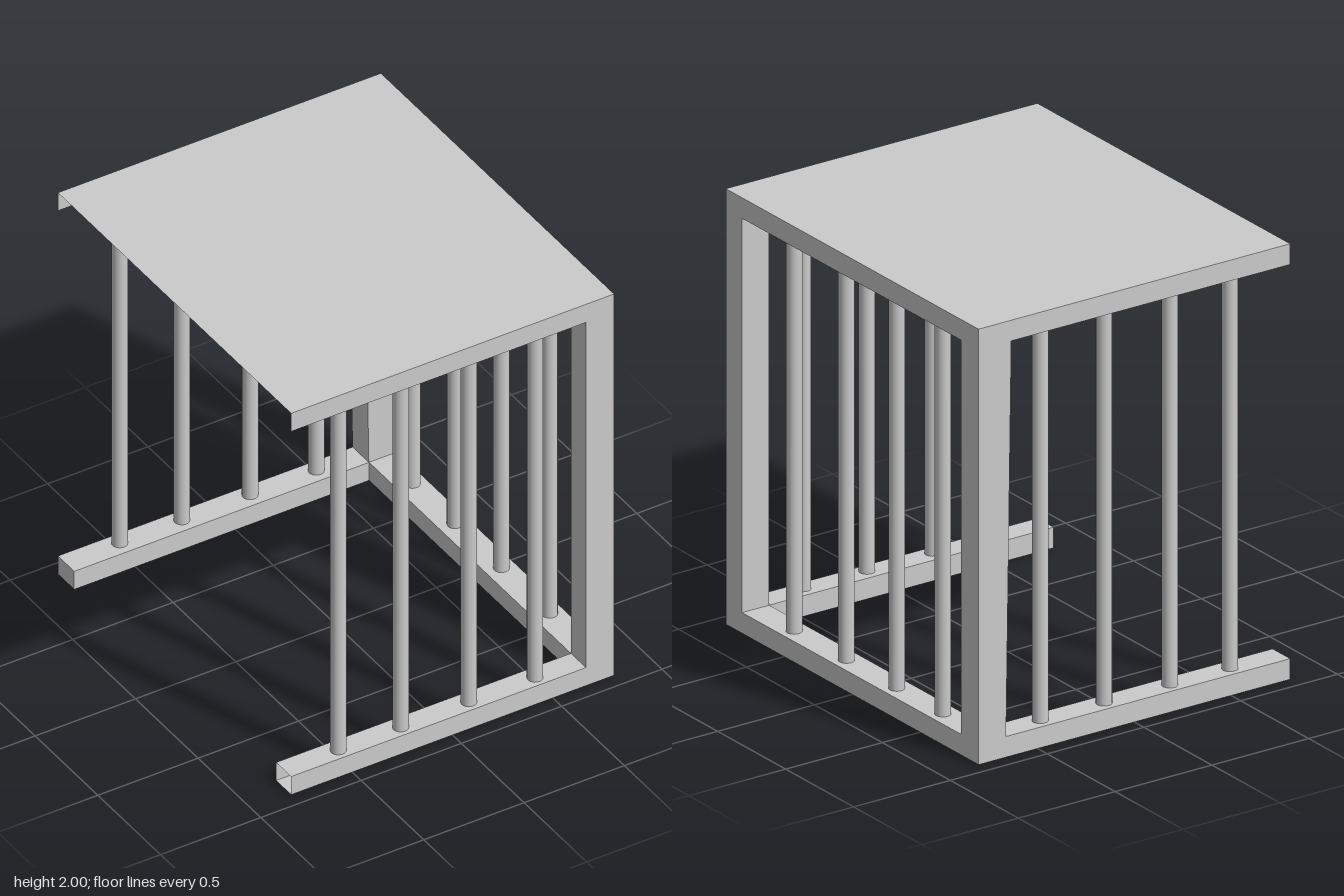
import * as THREE from 'three';

const X = 0.805, Z = 0.93, H = 2, RAIL = 0.095;

export function createModel() {
  const cage = new THREE.Group();
  cage.name = 'cage';
  const solid = new THREE.MeshStandardMaterial({ color: 0xcccccc });
  const sheet = new THREE.MeshStandardMaterial({ color: 0xcccccc, side: THREE.DoubleSide });

  const add = (name, geometry, material = solid) => {
    const mesh = new THREE.Mesh(geometry, material);
    mesh.name = name;
    cage.add(mesh);
    return mesh;
  };
  // Box given by its two extreme corners
  const box = (x0, y0, z0, x1, y1, z1) =>
    new THREE.BoxGeometry(x1 - x0, y1 - y0, z1 - z0)
      .translate((x0 + x1) / 2, (y0 + y1) / 2, (z0 + z1) / 2);

  // Bottom rails on three sides; the -x side stays open
  const frontRail = box(-X, 0, 0.81, 0.665, RAIL, Z);
  const index = Array.from(frontRail.index.array);
  index.splice(6, 6); // hollow rail: no end cap on -x
  frontRail.setIndex(index);
  frontRail.clearGroups();
  add('frontBottomRail', frontRail, sheet);
  add('backBottomRail', box(-X, 0, -Z, 0.665, RAIL, -0.8));
  add('sideBottomRail', box(0.665, 0, -0.8, X, RAIL, 0.81));

  // Corner posts; the back one widens slightly toward the top
  add('frontPost', box(0.665, 0, 0.81, X, H, Z));
  const backPost = box(0.665, 0, -Z, X, H, -0.8);
  const p = backPost.attributes.position;
  for (let i = 0; i < p.count; i++) {
    if (p.getY(i) > 1 && p.getX(i) < 0.7) p.setX(i, 0.635);
  }
  backPost.computeVertexNormals();
  add('backPost', backPost);

  // Thin roof sheet with a folded skirt on three sides
  add('roof', new THREE.PlaneGeometry(2 * X, 2 * Z).rotateX(-Math.PI / 2).translate(0, H, 0), sheet);
  const skirtY = H - RAIL / 2;
  add('frontSkirt', new THREE.PlaneGeometry(2 * X, RAIL).translate(0, skirtY, Z), sheet);
  add('backSkirt', new THREE.PlaneGeometry(2 * X, RAIL).rotateY(Math.PI).translate(0, skirtY, -Z), sheet);
  add('sideSkirt', new THREE.PlaneGeometry(2 * Z, RAIL).rotateY(Math.PI / 2).translate(X, skirtY, 0), sheet);

  // Round bars
  const y0 = 0.08, y1 = 1.995;
  const barGeometry = new THREE.CylinderGeometry(0.035, 0.035, y1 - y0, 20);
  const bar = (name, x, z) => add(name, barGeometry).position.set(x, (y0 + y1) / 2, z);
  for (const x of [-0.535, -0.225, 0.115, 0.445]) {
    bar('frontBar', x, 0.875);
    bar('backBar', x, -0.87);
  }
  for (const z of [0.52, 0.135, -0.235, -0.575]) bar('sideBar', 0.74, z);

  return cage;
}
